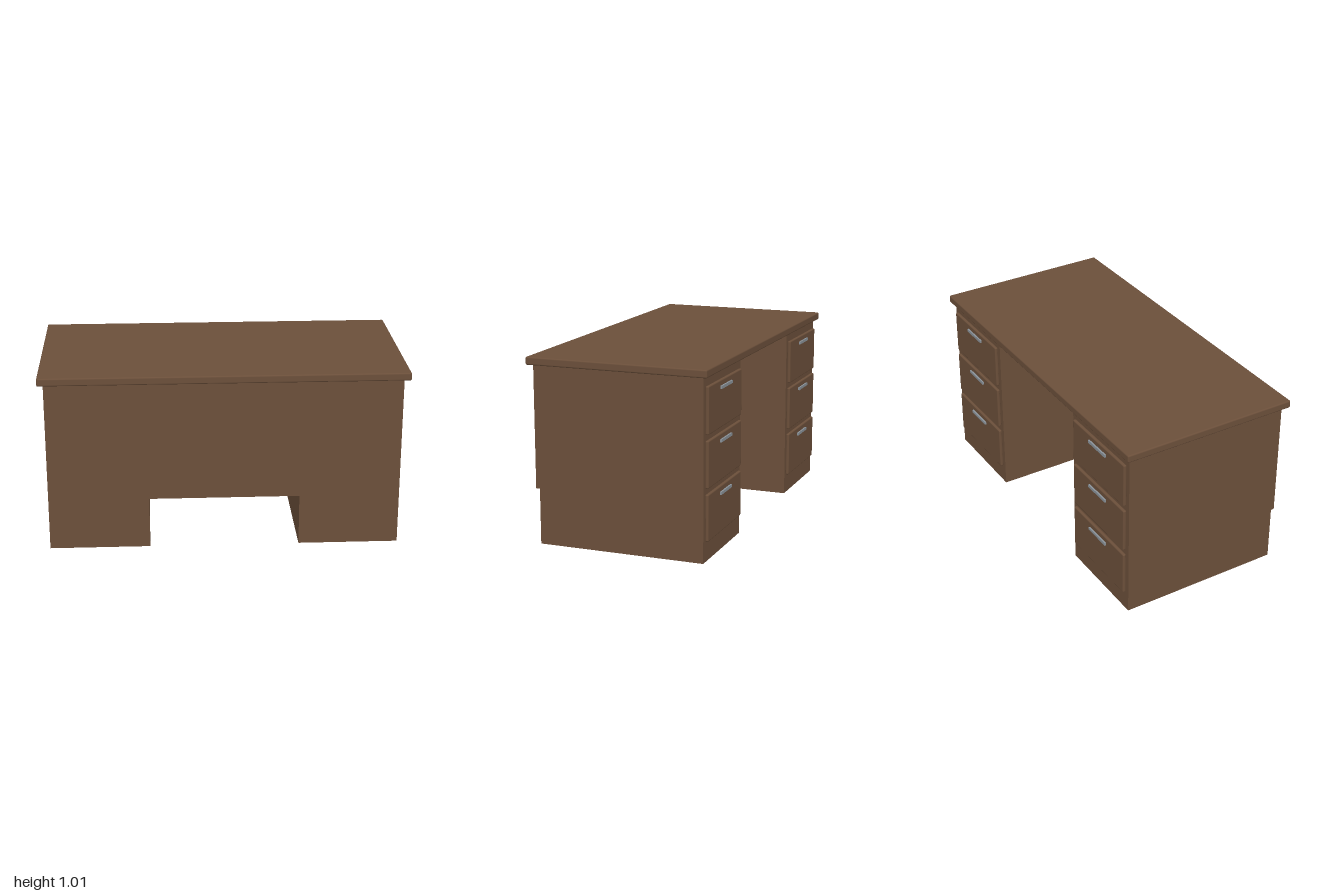
import * as THREE from 'three';
import { RoundedBoxGeometry } from 'three/addons/geometries/RoundedBoxGeometry.js';

export function createModel() {
  const desk = new THREE.Group();
  desk.name = 'desk';
  const wood = new THREE.MeshStandardMaterial({ name: 'brown wood', color: 0x6b4f3a });
  const metal = new THREE.MeshStandardMaterial({ name: 'grey metal', color: 0x8a9299 });

  // Box given by its minimum and maximum corners, optionally with rounded edges
  function addBox(parent, name, material, min, max, radius = 0) {
    const [w, h, d] = max.map((v, i) => v - min[i]);
    const geometry = radius
      ? new RoundedBoxGeometry(w, h, d, 2, radius)
      : new THREE.BoxGeometry(w, h, d);
    const mesh = new THREE.Mesh(geometry, material);
    mesh.name = name;
    mesh.position.set(...max.map((v, i) => (v + min[i]) / 2));
    parent.add(mesh);
    return mesh;
  }

  // Top slab and front panel
  addBox(desk, 'desktop', wood, [-1, 0.97, -0.5], [1, 1.013, 0.5], 0.008);
  addBox(desk, 'modestyPanel', wood, [-0.96, 0.3, 0.448], [0.96, 0.97, 0.475]);

  // Two pedestals, each with three drawers opening to the back
  for (const side of [-1, 1]) {
    const pedestal = new THREE.Group();
    pedestal.name = side > 0 ? 'leftPedestal' : 'rightPedestal';
    pedestal.position.x = side * 0.6925;
    desk.add(pedestal);
    addBox(pedestal, 'cabinet', wood, [-0.2775, 0, -0.473], [0.2775, 0.97, 0.448]);

    for (const y of [0.11, 0.39, 0.67]) {
      addBox(pedestal, 'drawerFront', wood, [-0.253, y, -0.491], [0.253, y + 0.25, -0.472], 0.007);
      addBox(pedestal, 'drawerHandle', metal, [-0.083, y + 0.205, -0.5], [0.083, y + 0.221, -0.49]);
    }
  }
  return desk;
}
